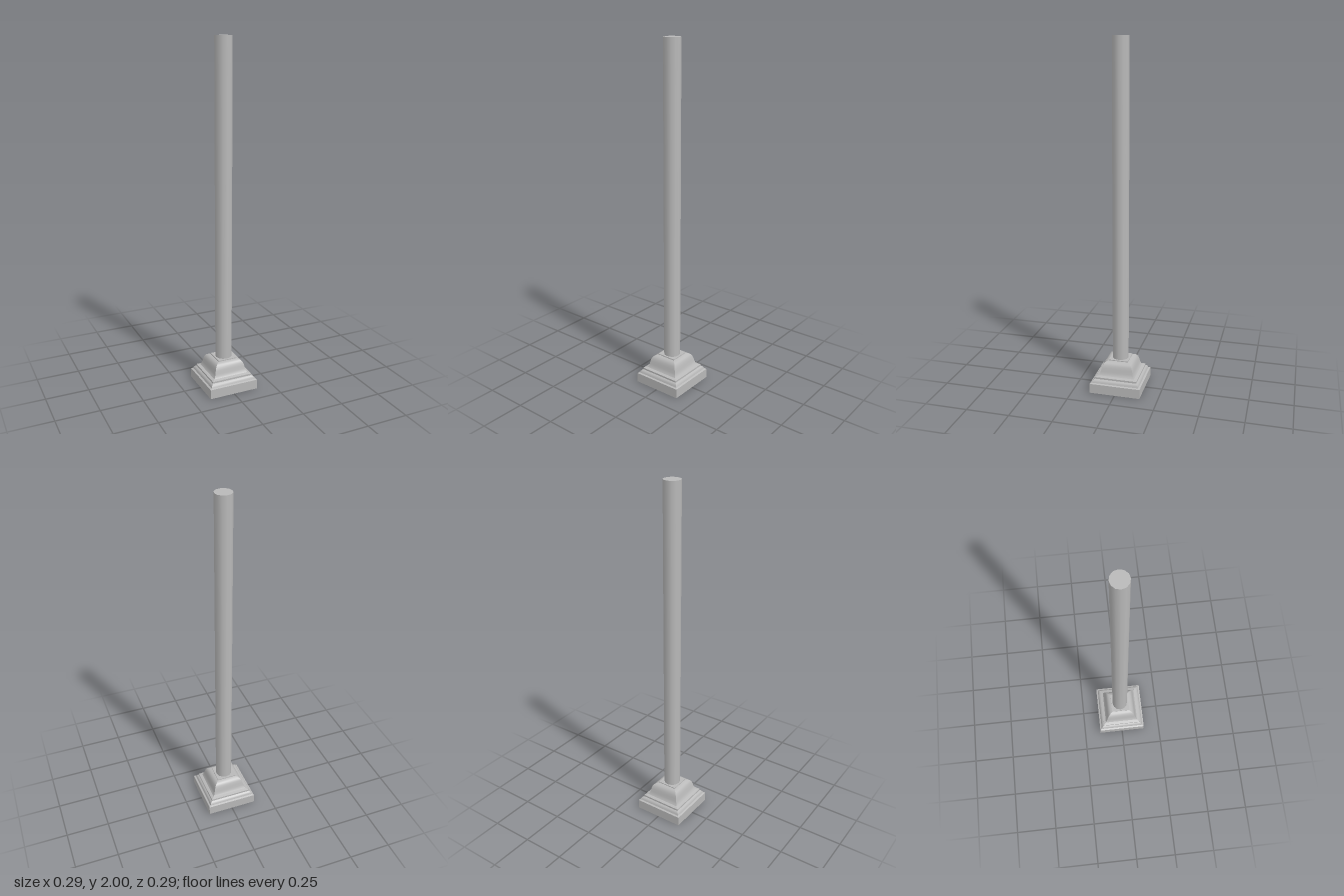
import * as THREE from 'three';
import { mergeGeometries } from 'three/addons/utils/BufferGeometryUtils.js';

// Square moulding: one smooth strip per side, following [halfWidth, y] points
function squareMoulding(profile) {
  const sides = [];
  for (let s = 0; s < 4; s++) {
    const positions = [], index = [];
    profile.forEach(([w, y], i) => {
      positions.push(-w, y, w, w, y, w);
      if (i > 0) {
        const a = (i - 1) * 2;
        index.push(a, a + 1, a + 3, a, a + 3, a + 2);
      }
    });
    const g = new THREE.BufferGeometry();
    g.setAttribute('position', new THREE.Float32BufferAttribute(positions, 3));
    g.setIndex(index);
    g.rotateY(s * Math.PI / 2);
    g.computeVertexNormals();
    sides.push(g);
  }
  return mergeGeometries(sides);
}

export function createModel() {
  const group = new THREE.Group();
  const grey = new THREE.MeshStandardMaterial({ color: 0xb8b8b8 });
  grey.name = 'grey';

  const add = (name, geometry) => {
    const mesh = new THREE.Mesh(geometry, grey);
    mesh.name = name;
    group.add(mesh);
    return mesh;
  };

  // Stepped square base, from the floor up
  add('plinth', squareMoulding([[0.147, 0], [0.147, 0.056]]));
  add('plinthLedge', squareMoulding([[0.147, 0.056], [0.137, 0.06]]));
  add('lowerMoulding', squareMoulding([[0.137, 0.06], [0.134, 0.07], [0.129, 0.076], [0.122, 0.08]]));
  add('fillet', squareMoulding([[0.122, 0.08], [0.122, 0.09]]));
  add('filletLedge', squareMoulding([[0.122, 0.09], [0.105, 0.095]]));

  // Curved bell between base and pole
  add('bell', squareMoulding([
    [0.105, 0.095], [0.099, 0.104], [0.095, 0.117], [0.091, 0.135],
    [0.086, 0.152], [0.078, 0.164], [0.068, 0.17], [0.057, 0.173],
  ]));
  add('collar', squareMoulding([[0.057, 0.173], [0.057, 0.178]]));

  // Flat caps closing the base
  const cap = (name, halfWidth, y, turn) => {
    const g = new THREE.PlaneGeometry(halfWidth * 2, halfWidth * 2).rotateX(turn);
    add(name, g).position.y = y;
  };
  cap('collarTop', 0.057, 0.178, -Math.PI / 2);
  cap('plinthUnderside', 0.147, 0, Math.PI / 2);

  // Twelve-sided pole with smooth shading
  const height = 2 - 0.17;
  add('pole', new THREE.CylinderGeometry(0.048, 0.048, height, 12)).position.y = 0.17 + height / 2;

  return group;
}
